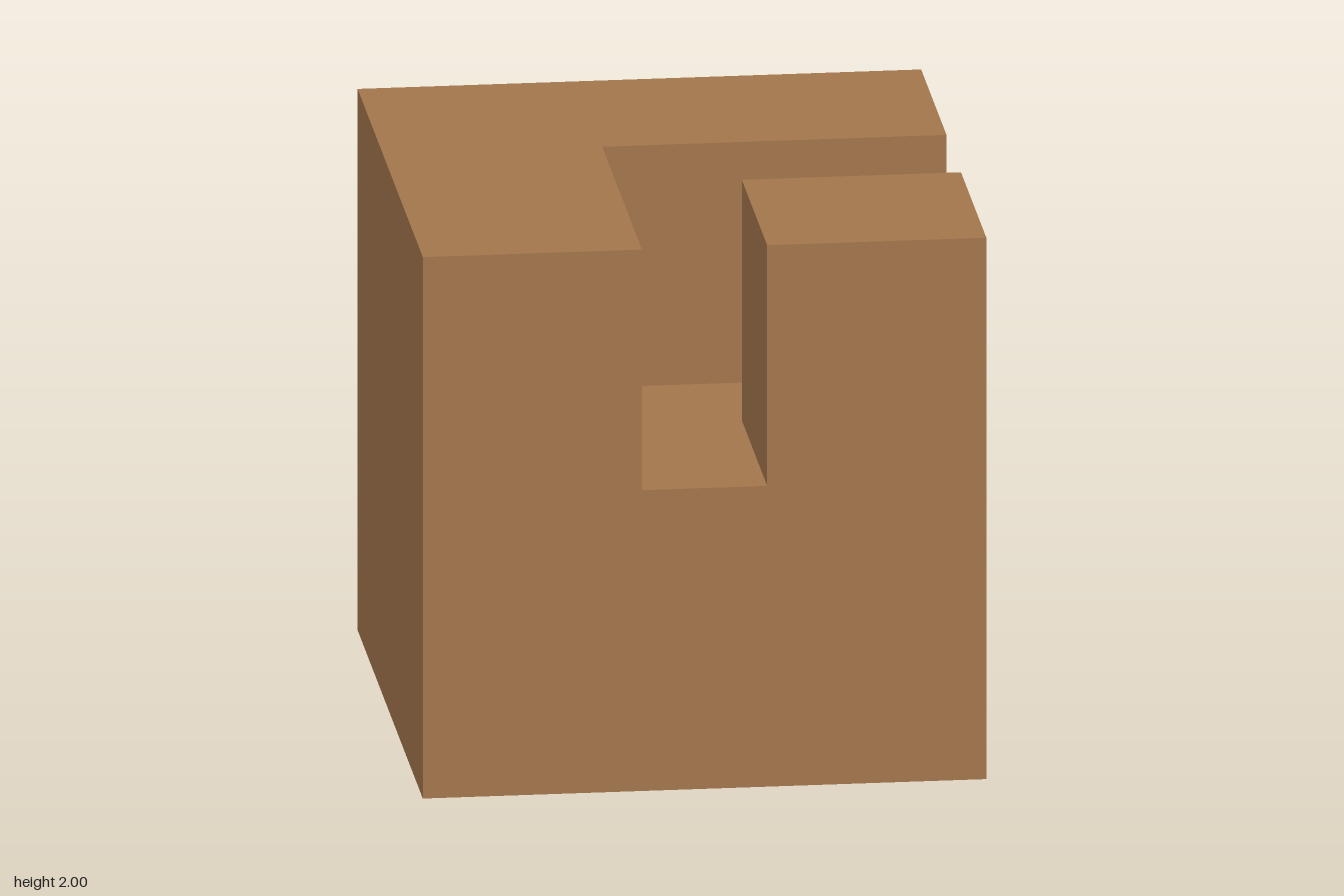
import * as THREE from 'three';
import { mergeGeometries } from 'three/addons/utils/BufferGeometryUtils.js';

const G = 2 / 9;        // half width of the channel
const FLOOR = 10 / 9;   // height of the channel floor
const TOP = 2;
const Q = Math.PI / 2;

// Flat panel from a counter-clockwise outline, turned about x and y, then moved
function panel(points, rx, ry, x, y, z) {
  const shape = new THREE.Shape(points.map(([u, v]) => new THREE.Vector2(u, v)));
  return new THREE.ShapeGeometry(shape).rotateX(rx).rotateY(ry).translate(x, y, z);
}

const rect = (u0, v0, u1, v1) => [[u0, v0], [u1, v0], [u1, v1], [u0, v1]];

export function createModel() {
  const model = new THREE.Group();
  model.name = 'notchedCube';
  const material = new THREE.MeshStandardMaterial({ color: 0xa3764c });

  const add = (name, panels) => {
    const mesh = new THREE.Mesh(mergeGeometries(panels), material);
    mesh.name = name;
    model.add(mesh);
  };

  // Outer sides: two plain, two with the channel mouth cut out
  const plain = rect(-1, 0, 1, TOP);
  const notched = [[-1, 0], [1, 0], [1, TOP], [G, TOP], [G, FLOOR], [-G, FLOOR], [-G, TOP], [-1, TOP]];
  add('outerSides', [
    panel(notched, 0, 0, 0, 0, 1),
    panel(notched, 0, Q, 1, 0, 0),
    panel(plain, 0, 2 * Q, 0, 0, -1),
    panel(plain, 0, -Q, -1, 0, 0),
  ]);

  // Underside
  add('underside', [panel(rect(-1, -1, 1, 1), Q, 0, 0, 0, 0)]);

  // L-shaped rim and square top of the corner post (outlines in x, -z)
  const rim = [[-1, -1], [-G, -1], [-G, G], [1, G], [1, 1], [-1, 1]];
  add('rimTop', [panel(rim, -Q, 0, 0, TOP, 0)]);
  add('postTop', [panel(rect(G, -1, 1, -G), -Q, 0, 0, TOP, 0)]);

  // Channel floor
  const floor = [[-G, -1], [G, -1], [G, -G], [1, -G], [1, G], [-G, G]];
  add('channelFloor', [panel(floor, -Q, 0, 0, FLOOR, 0)]);

  // Channel walls on the rim side and on the post side
  add('rimWalls', [
    panel(rect(-1, FLOOR, G, TOP), 0, Q, -G, 0, 0),
    panel(rect(-G, FLOOR, 1, TOP), 0, 0, 0, 0, -G),
  ]);
  add('postWalls', [
    panel(rect(G, FLOOR, 1, TOP), 0, -Q, G, 0, 0),
    panel(rect(-1, FLOOR, -G, TOP), 0, 2 * Q, 0, 0, G),
  ]);

  return model;
}
